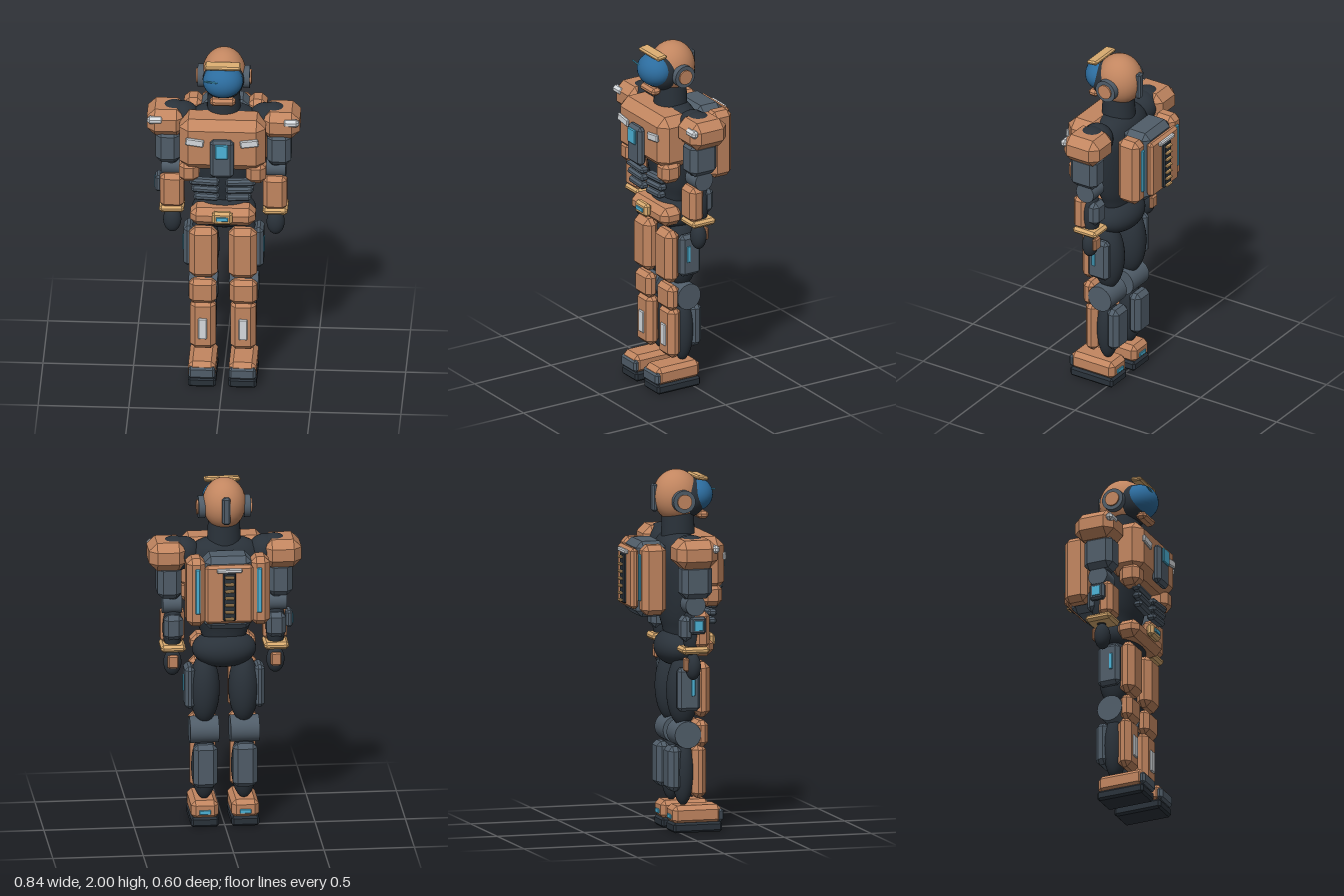
import * as THREE from 'three';
import { ConvexGeometry } from 'three/addons/geometries/ConvexGeometry.js';

const mat = (name, color) => {
  const m = new THREE.MeshStandardMaterial({ color });
  m.name = name;
  return m;
};

export function createModel() {
  const root = new THREE.Group();
  root.name = 'armouredFigure';
  const copper = mat('copperArmour', 0xc28660);
  const dark = mat('darkSuit', 0x2a323a);
  const slate = mat('slateArmour', 0x505d69);
  const gold = mat('goldTrim', 0xdaac70);
  const blue = mat('blueVisor', 0x2c6c9e);
  const cyan = mat('cyanLight', 0x4db4d8);
  const white = mat('paleLight', 0xd6dade);

  function add(name, geo, m, x, y, z) {
    const mesh = new THREE.Mesh(geo, m);
    mesh.name = name;
    mesh.position.set(x, y, z);
    root.add(mesh);
    return mesh;
  }
  // Box with chamfered edges, given by its extents
  function box(name, m, [x0, x1], [y0, y1], [z0, z1], c = 0.02) {
    const h = [(x1 - x0) / 2, (y1 - y0) / 2, (z1 - z0) / 2];
    c = Math.min(c, Math.min(...h) * 0.7);
    const pts = [];
    for (const a of [-1, 1]) for (const b of [-1, 1]) for (const d of [-1, 1])
      for (let k = 0; k < 3; k++) {
        const p = h.map((v, i) => (i === k ? v : v - c));
        pts.push(new THREE.Vector3(p[0] * a, p[1] * b, p[2] * d));
      }
    return add(name, new ConvexGeometry(pts), m, (x0 + x1) / 2, (y0 + y1) / 2, (z0 + z1) / 2);
  }
  function ball(name, m, x, y, z, rx, ry = rx, rz = rx) {
    return add(name, new THREE.SphereGeometry(1, 32, 20).scale(rx, ry, rz), m, x, y, z);
  }
  // Cylinder lying along x
  function disc(name, m, x, y, z, r, len) {
    return add(name, new THREE.CylinderGeometry(r, r, len, 28).rotateZ(Math.PI / 2), m, x, y, z);
  }

  // Head
  ball('helmet', copper, 0, 1.855, 0.03, 0.12, 0.145, 0.13);
  ball('faceSeal', dark, 0, 1.845, 0.1, 0.114, 0.113, 0.1);
  ball('visor', blue, 0, 1.857, 0.14, 0.111, 0.093, 0.096);
  box('brow', gold, [-0.1, 0.1], [1.944, 1.968], [0.122, 0.188], 0.01).rotation.x = 0.12;
  box('chin', copper, [-0.07, 0.07], [1.725, 1.767], [0.14, 0.2], 0.015);
  box('visorGlint', cyan, [-0.1, -0.025], [1.886, 1.894], [0.219, 0.227], 0.002).rotation.z = -0.1;
  box('headCrest', slate, [-0.023, 0.023], [1.77, 1.925], [-0.112, -0.08], 0.01);
  add('neck', new THREE.CylinderGeometry(0.088, 0.095, 0.16, 28), dark, 0, 1.68, 0.04);

  // Suit body
  const profile = [[0, 1.04], [0.1, 1.06], [0.135, 1.13], [0.165, 1.2], [0.195, 1.32], [0.215, 1.45],
    [0.215, 1.54], [0.18, 1.61], [0.11, 1.65], [0, 1.66]].map(p => new THREE.Vector2(...p));
  const curve = new THREE.SplineCurve(profile).getPoints(30);
  add('torsoSuit', new THREE.LatheGeometry(curve, 36).scale(1, 1, 0.58), dark, 0, 0, 0.035);
  ball('pelvis', dark, 0, 1.015, 0.035, 0.178, 0.105, 0.125);

  // Chest and belly
  box('chestPlate', copper, [-0.238, 0.238], [1.34, 1.645], [0.035, 0.247], 0.05);
  box('chestPanel', slate, [-0.066, 0.066], [1.325, 1.552], [0.235, 0.287], 0.025);
  box('chestScreen', cyan, [-0.036, 0.036], [1.45, 1.537], [0.285, 0.299], 0.005);

  // Belt
  box('belt', copper, [-0.18, 0.18], [0.975, 1.08], [0.06, 0.2], 0.035);
  box('buckle', gold, [-0.056, 0.056], [1.01, 1.085], [0.195, 0.24], 0.014);
  box('buckleLight', cyan, [-0.034, 0.034], [1.036, 1.06], [0.238, 0.247], 0.003);

  // Backpack
  box('packCore', slate, [-0.132, 0.132], [1.2, 1.62], [-0.232, -0.06], 0.035);
  box('packPanel', copper, [-0.134, 0.134], [1.25, 1.585], [-0.268, -0.225], 0.018);
  box('packSpine', dark, [-0.036, 0.036], [1.27, 1.55], [-0.285, -0.262], 0.008);
  box('packLight', white, [-0.07, 0.07], [1.548, 1.572], [-0.287, -0.264], 0.006);
  for (let i = 0; i < 7; i++) {
    const y = 1.285 + i * 0.04;
    box('spineRib', gold, [-0.025, 0.025], [y - 0.007, y + 0.007], [-0.3, -0.28], 0.004);
  }

  // Mirrored parts
  for (const s of [1, -1]) {
    const side = s > 0 ? 'left' : 'right';
    const sbox = (name, m, x, y, z, c) =>
      box(side + name, m, s > 0 ? x : [-x[1], -x[0]], y, z, c);
    const sball = (name, m, x, ...rest) => ball(side + name, m, x * s, ...rest);

    disc(side + 'EarCup', slate, 0.126 * s, 1.835, 0.035, 0.063, 0.036);
    disc(side + 'EarCap', copper, 0.138 * s, 1.835, 0.035, 0.041, 0.03);

    // Chest details
    sbox('LowerChest', copper, [0.13, 0.24], [1.26, 1.385], [0.11, 0.23], 0.03);
    sbox('ChestLight', white, [0.1, 0.202], [1.506, 1.55], [0.242, 0.259], 0.007).rotation.z = 0.14 * s;
    [1.258, 1.213, 1.166].forEach((y, i) => {
      sbox('AbdomenPlate', slate, [0.018, 0.182 - i * 0.012], [y - 0.019, y + 0.019], [0.165, 0.218], 0.012)
        .rotation.z = 0.05 * s;
    });

    // Backpack pods
    sbox('PackPod', copper, [0.125, 0.23], [1.222, 1.612], [-0.228, -0.09], 0.03);
    sbox('PackStrip', cyan, [0.157, 0.184], [1.3, 1.56], [-0.24, -0.224], 0.005);

    // Arm
    sball('Collar', dark, 0.225, 1.575, 0.035, 0.09);
    sball('ShoulderJoint', dark, 0.275, 1.569, 0.035, 0.1);
    sbox('ShoulderPad', copper, [0.212, 0.422], [1.495, 1.654], [-0.082, 0.152], 0.045);
    sbox('ShoulderLight', white, [0.328, 0.418], [1.58, 1.624], [0.115, 0.157], 0.014);
    sbox('UpperArm', slate, [0.24, 0.373], [1.325, 1.52], [-0.042, 0.13], 0.03);
    sball('ArmSuit', dark, 0.287, 1.32, 0.04, 0.052, 0.12, 0.05);
    disc(side + 'Elbow', slate, 0.29 * s, 1.285, 0.038, 0.057, 0.106);
    sball('ForearmSuit', dark, 0.285, 1.14, 0.035, 0.055, 0.14, 0.055);
    sbox('ForearmPlate', copper, [0.217, 0.35], [1.045, 1.25], [0.033, 0.122], 0.025);
    sbox('ForearmBack', slate, [0.23, 0.338], [1.085, 1.225], [-0.037, 0.038], 0.025);
    sbox('Wristband', gold, [0.217, 0.354], [1.015, 1.055], [-0.037, 0.118], 0.014);
    sball('Hand', dark, 0.285, 0.94, 0.04, 0.05, 0.075, 0.043);
    sbox('HandPlate', copper, [0.255, 0.315], [0.915, 0.99], [-0.012, 0.012], 0.008);

    // Leg
    sball('ThighSuit', dark, 0.108, 0.785, 0.035, 0.084, 0.2, 0.092);
    sbox('ThighPlate', copper, [0.03, 0.187], [0.638, 0.945], [0.085, 0.178], 0.035);
    sbox('ThighSidePlate', slate, [0.165, 0.221], [0.68, 0.922], [-0.025, 0.107], 0.025);
    sbox('ThighLight', cyan, [0.215, 0.226], [0.765, 0.86], [0.05, 0.072], 0.003);
    disc(side + 'Knee', slate, 0.112 * s, 0.545, 0.04, 0.075, 0.16);
    sbox('KneePlate', copper, [0.036, 0.188], [0.475, 0.62], [0.09, 0.165], 0.025);
    sball('ShinSuit', dark, 0.11, 0.335, 0.035, 0.072, 0.19, 0.06);
    sbox('ShinPlate', copper, [0.04, 0.182], [0.188, 0.485], [0.075, 0.156], 0.03);
    sbox('ShinLight', white, [0.087, 0.136], [0.258, 0.386], [0.15, 0.165], 0.005);
    sbox('CalfPlate', slate, [0.043, 0.177], [0.23, 0.478], [-0.062, 0.015], 0.025);
    sbox('Foot', copper, [0.036, 0.188], [0.045, 0.15], [-0.042, 0.24], 0.025);
    sbox('ToeCap', slate, [0.038, 0.186], [0.055, 0.126], [0.212, 0.25], 0.02);
    sbox('Sole', dark, [0.035, 0.189], [0, 0.056], [-0.04, 0.24], 0.012);
    sbox('HeelLight', cyan, [0.08, 0.144], [0.075, 0.1], [-0.048, -0.038], 0.003);
  }

  // Wrist device on the right forearm only
  box('wristDevice', slate, [-0.378, -0.34], [1.13, 1.226], [0.0, 0.09], 0.012);
  box('wristScreen', cyan, [-0.382, -0.375], [1.15, 1.206], [0.02, 0.07], 0.002);

  return root;
}
